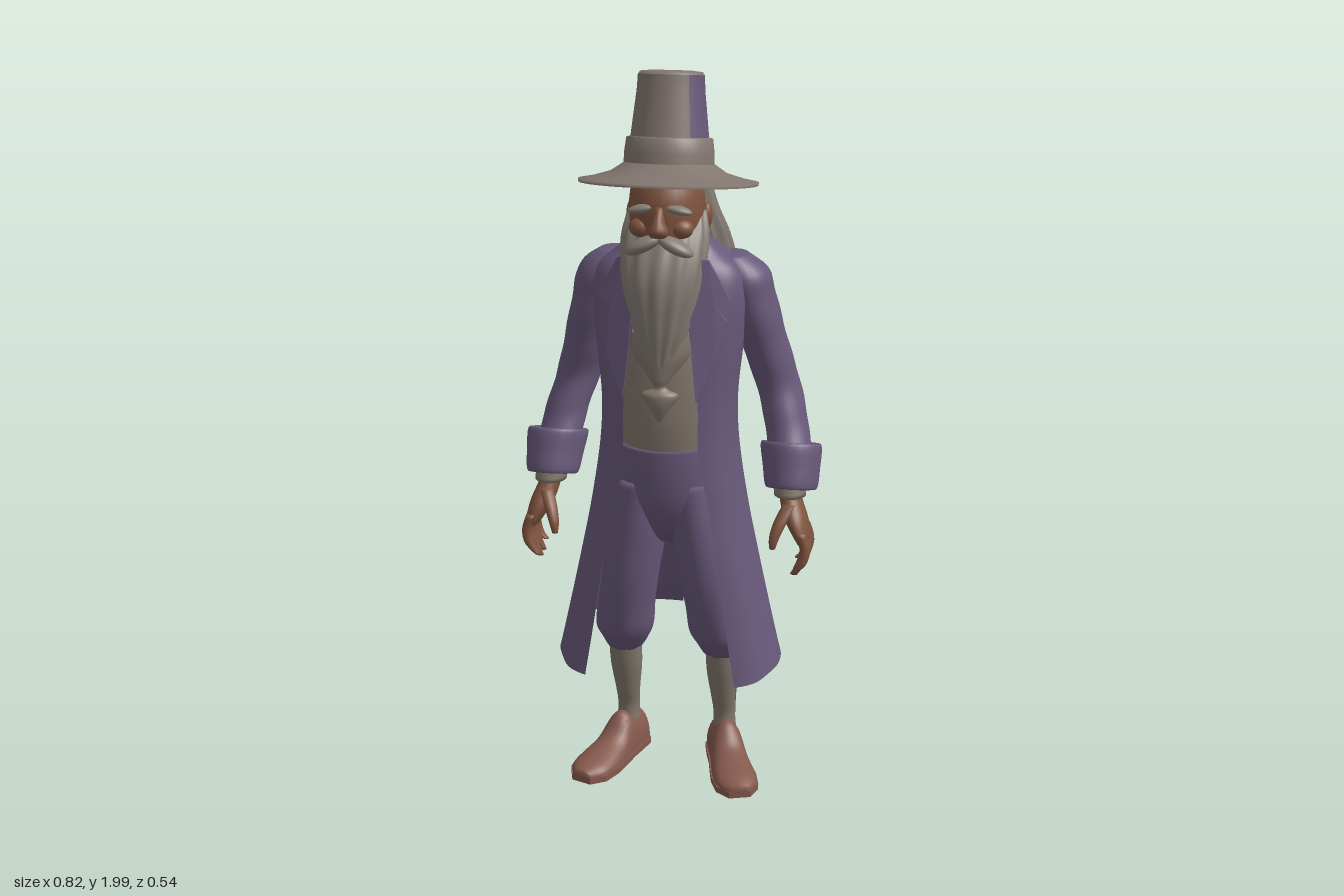
import * as THREE from 'three';
import { mergeVertices } from 'three/addons/utils/BufferGeometryUtils.js';

const mat = (name, color, side = THREE.FrontSide) => {
  const m = new THREE.MeshStandardMaterial({ color, side });
  m.name = name;
  return m;
};
const TAU = Math.PI * 2;

// Smooth interpolation through a list of rows, t in 0..1
function sample(rows, t) {
  const f = t * (rows.length - 1), i = Math.min(Math.floor(f), rows.length - 2), k = f - i;
  const at = j => rows[Math.max(0, Math.min(rows.length - 1, j))];
  return rows[i].map((p1, c) => {
    const p0 = at(i - 1)[c], p2 = at(i + 1)[c], p3 = at(i + 2)[c];
    return p1 + 0.5 * k * (p2 - p0 + k * (2 * p0 - 5 * p1 + 4 * p2 - p3 + k * (3 * (p1 - p2) + p3 - p0)));
  });
}

// Surface from fn(u, v) -> [x, y, z]; u runs round, v runs down
function grid(nu, nv, fn) {
  const pos = [], idx = [];
  for (let j = 0; j <= nv; j++) for (let i = 0; i <= nu; i++) pos.push(...fn(i / nu, j / nv, j));
  for (let j = 0; j < nv; j++) for (let i = 0; i < nu; i++) {
    const a = j * (nu + 1) + i, b = a + nu + 1;
    idx.push(a, b, a + 1, a + 1, b, b + 1);
  }
  let g = new THREE.BufferGeometry();
  g.setAttribute('position', new THREE.Float32BufferAttribute(pos, 3));
  g.setIndex(idx);
  g = mergeVertices(g, 1e-5);
  g.computeVertexNormals();
  return g;
}

// Capped loft of elliptical rings [x, y, z, rx, rz], listed from top to bottom
function loft(rows, { n = 28, m = 24, tilt = 0, from = 0, to = TAU, cap = true, ripple = () => 1, drop = () => 0 } = {}) {
  return grid(n, m + 2, (u, v, j) => {
    const t = Math.max(0, Math.min(1, (j - 1) / m));
    const [x, y, z, rx, rz] = sample(rows, t);
    const a = from + (to - from) * u;
    const k = cap && (j === 0 || j === m + 2) ? 0 : ripple(a, t);
    const dz = k * rz * Math.cos(a);
    return [x + k * rx * Math.sin(a), y + tilt * dz + (k ? drop(a, t) : 0), z + dz];
  });
}

export function createModel() {
  const root = new THREE.Group();
  root.name = 'oldManInCoat';
  const cloth = mat('purple cloth', 0x68597a, THREE.DoubleSide);
  const felt = mat('hat felt', 0x82766f, THREE.DoubleSide);
  const hairMat = mat('grey hair', 0x857d75);
  const linen = mat('linen', 0x82776d);
  const skin = mat('skin', 0x80543f);
  const leather = mat('shoe leather', 0x85594d);
  const add = (name, geo, m, parent = root) => {
    const mesh = new THREE.Mesh(geo, m);
    mesh.name = name;
    parent.add(mesh);
    return mesh;
  };
  const ball = (name, m, p, s, rz = 0) => {
    const b = add(name, new THREE.SphereGeometry(1, 20, 14), m);
    b.position.set(...p);
    b.scale.set(...s);
    b.rotation.z = rz;
  };

  // Hat: leaning back, purple under the brim and on the back of the crown
  const hat = new THREE.Group();
  hat.name = 'hat';
  hat.position.set(0, 1.7, 0.018);
  hat.rotation.x = -0.14;
  root.add(hat);
  const lathe = (pts, a = 0, len = TAU) =>
    new THREE.LatheGeometry(pts.map(p => new THREE.Vector2(...p)), 48, a, len);
  const rim = [[0.232, 0.002], [0.233, 0.01], [0.2, 0.016], [0.15, 0.031], [0.115, 0.055]];
  add('brim', lathe(rim), felt, hat).scale.z = 1.1;
  add('brimLining', lathe([[0.085, 0.03], [0.14, 0.015], [0.2, 0.002], [0.232, 0.002]]), cloth, hat).scale.z = 1.1;
  add('hatBand', lathe([[0.118, 0.04], [0.117, 0.08], [0.112, 0.118], [0.1, 0.122]]), felt, hat);
  const c0 = 0.73, c1 = 4.63;
  const crown = [[0.102, 0.115], [0.096, 0.17], [0.088, 0.24], [0.086, 0.278]];
  add('crownFront', lathe(crown, c1, TAU - c1 + c0), felt, hat);
  add('crownBack', lathe(crown, c0, c1 - c0), cloth, hat);
  add('crownTop', lathe([[0.086, 0.278], [0.08, 0.286], [0.05, 0.289], [0, 0.289]]), felt, hat);

  // Head and face
  add('head', loft([[0, 1.75, 0.02, 0.08, 0.09], [0, 1.68, 0.03, 0.097, 0.115], [0, 1.6, 0.035, 0.096, 0.112],
    [0, 1.52, 0.03, 0.08, 0.1], [0, 1.42, -0.01, 0.07, 0.07]]), skin);
  add('nose', loft([[0, 1.665, 0.135, 0.012, 0.014], [0, 1.63, 0.15, 0.016, 0.022], [0, 1.605, 0.155, 0.026, 0.027],
    [0, 1.588, 0.147, 0.022, 0.02]], { n: 16, m: 10 }), skin);
  for (const s of [1, -1]) {
    ball('ear', skin, [0.1 * s, 1.62, 0.005], [0.014, 0.034, 0.022]);
    ball('cheek', skin, [0.052 * s, 1.605, 0.115], [0.032, 0.026, 0.028]);
    ball('eyebrow', hairMat, [0.047 * s, 1.657, 0.132], [0.038, 0.012, 0.02], -0.2 * s);
    ball('moustache', hairMat, [0.042 * s, 1.565, 0.142], [0.052, 0.019, 0.032], -0.45 * s);
  }

  // Beard and long hair, grooved into locks
  add('beard', loft([[0, 1.64, 0.035, 0.1, 0.04], [0, 1.57, 0.06, 0.113, 0.082], [0, 1.47, 0.092, 0.106, 0.09],
    [0, 1.35, 0.115, 0.076, 0.062], [0, 1.26, 0.125, 0.042, 0.036], [0, 1.2, 0.135, 0.015, 0.014]],
  { n: 72, m: 30, ripple: (a, t) => 1 + 0.035 * Math.sin(13 * a + 3 * t) }), hairMat);
  add('hair', loft([[0, 1.72, -0.01, 0.1, 0.1], [0, 1.63, -0.045, 0.118, 0.1], [0, 1.55, -0.085, 0.14, 0.105],
    [0, 1.48, -0.115, 0.148, 0.112], [0, 1.44, -0.14, 0.125, 0.09]],
  { n: 90, m: 24, ripple: (a, t) => 1 + (0.02 + 0.04 * t) * Math.sin(15 * a + 2 * t),
    drop: (a, t) => t * t * 0.022 * Math.sin(15 * a + 1) }), hairMat);

  // Waistcoat, neckcloth and breeches
  add('waistcoat', loft([[0, 1.5, -0.02, 0.08, 0.08], [0, 1.4, -0.01, 0.14, 0.11], [0, 1.25, 0, 0.15, 0.135],
    [0, 1.1, 0, 0.145, 0.143], [0, 0.99, 0, 0.14, 0.132]]), linen);
  add('neckcloth', loft([[0, 1.33, 0.06, 0.1, 0.09], [0, 1.27, 0.08, 0.085, 0.078], [0, 1.21, 0.105, 0.04, 0.05],
    [0, 1.185, 0.125, 0.022, 0.025], [0, 1.165, 0.13, 0.05, 0.033], [0, 1.13, 0.135, 0.03, 0.025],
    [0, 1.09, 0.135, 0.006, 0.008]], { m: 36 }), linen);
  add('breechesSeat', loft([[0, 1.005, 0, 0.143, 0.134], [0, 0.92, 0, 0.15, 0.13], [0, 0.83, 0, 0.15, 0.115],
    [0, 0.75, 0, 0.1, 0.08], [0, 0.71, 0, 0.03, 0.04]]), cloth);

  // Coat half: rows are [y, half width, front depth, back depth, front gap, back gap]
  const coatHalf = (s, flare, vent) => {
    const rows = [[1.57, 0.1, 0.06, 0.11, 0.07, 0], [1.53, 0.135, 0.075, 0.135, 0.07, 0], [1.48, 0.19, 0.1, 0.165, 0.065, 0],
      [1.4, 0.205, 0.12, 0.185, 0.065, 0], [1.27, 0.195, 0.135, 0.185, 0.085, 0], [1.13, 0.182, 0.143, 0.165, 0.1, 0],
      [1.0, 0.187, 0.148, 0.15, 0.103, 0], [0.83, 0.212, 0.158, 0.165, 0.135, 0], [0.67, 0.243, 0.17, 0.188, 0.16, 0],
      [0.5, 0.278, 0.178, 0.205 + flare * 0.5, 0.185, vent * 0.6], [0.345, 0.31, 0.187, 0.225 + flare, 0.21, vent]];
    return grid(36, 50, (u, v) => {
      const [y, rx, zf, zb, gf, gb] = sample(rows, v);
      const ang = g => Math.asin(Math.min(1, Math.max(0, g) / rx) ** 1.25);
      const a0 = ang(gf), a1 = Math.PI - ang(gb);
      const a = a0 + (a1 - a0) * (s > 0 ? u : 1 - u), c = Math.cos(a);
      const fold = 1 + 0.012 * Math.sin(a * 9) * v * v;
      return [s * rx * fold * Math.sin(a) ** 0.8, y + 0.045 * v ** 8 * (0.5 - c * 0.7),
        (c > 0 ? zf : -zb) * fold * Math.abs(c) ** 0.8];
    });
  };
  add('coatLeft', coatHalf(1, -0.005, 0.05), cloth);
  add('coatRight', coatHalf(-1, 0.045, 0.012), cloth);

  const lapel = [[0.068, 1.53], [0.12, 1.52], [0.178, 1.41], [0.14, 1.4], [0.17, 1.36], [0.145, 1.26], [0.098, 1.15], [0.085, 1.27]];
  for (const s of [1, -1]) {
    const left = s > 0, side = n => (left ? 'left' : 'right') + n;

    // Lapel bent to lie over the chest
    const lg = new THREE.ExtrudeGeometry(new THREE.Shape(lapel.map(([x, y]) => new THREE.Vector2(s * x, y))),
      { depth: 0.012, bevelEnabled: false });
    const p = lg.attributes.position;
    for (let i = 0; i < p.count; i++)
      p.setZ(i, p.getZ(i) + 0.153 - (p.getY(i) - 1.15) * 0.12 - p.getX(i) ** 2 * 1.5);
    lg.computeVertexNormals();
    add(side('Lapel'), lg, cloth);

    // Sleeve and turned-back cuff
    add(side('Sleeve'), loft([[0.16 * s, 1.51, -0.05, 0.04, 0.05], [0.187 * s, 1.465, -0.055, 0.068, 0.08],
      [0.212 * s, 1.38, -0.065, 0.066, 0.085], [0.243 * s, 1.26, -0.088, 0.064, 0.08], [0.275 * s, 1.15, -0.112, 0.061, 0.078],
      [0.305 * s, 1.05, -0.085, 0.059, 0.07], [0.325 * s, 0.95, -0.035, 0.058, 0.062], [0.33 * s, 0.9, -0.012, 0.05, 0.055]],
    { m: 36, ripple: (a, t) => 1 + 0.02 * Math.sin(t * 40 + a) }), cloth);
    add(side('Cuff'), loft([[0.322 * s, 0.985, -0.05, 0.055, 0.062], [0.325 * s, 0.988, -0.052, 0.082, 0.088],
      [0.33 * s, 0.93, -0.03, 0.078, 0.083], [0.333 * s, 0.878, -0.01, 0.07, 0.075], [0.333 * s, 0.88, -0.01, 0.05, 0.055]],
    { tilt: 0.3 }), cloth);
    add(side('ShirtCuff'), loft([[0.33 * s, 0.9, 0, 0.045, 0.047], [0.333 * s, 0.865, 0.01, 0.043, 0.047]], { m: 3 }), linen);

    // Hand with curled fingers
    add(side('Palm'), loft([[0.33 * s, 0.9, 0.0, 0.03, 0.035], [0.335 * s, 0.86, 0.012, 0.03, 0.04],
      [0.352 * s, 0.81, 0.03, 0.032, 0.054], [0.37 * s, 0.765, 0.035, 0.024, 0.058], [0.373 * s, 0.745, 0.035, 0.014, 0.05]]), skin);
    for (let i = 0; i < 4; i++) {
      const z = -0.012 + i * 0.031, low = [0.675, 0.655, 0.65, 0.665][i], w = 0.0145;
      add(side('Finger'), loft([[0.372 * s, 0.78, z, w, w], [0.385 * s, 0.735, z, w, w],
        [0.377 * s, 0.695, z + 0.002, w, w], [0.355 * s, low, z + 0.004, 0.008, 0.008]], { n: 10, m: 10 }), skin);
    }
    add(side('Thumb'), loft([[0.338 * s, 0.85, 0.045, 0.018, 0.02], [0.318 * s, 0.81, 0.078, 0.018, 0.019],
      [0.304 * s, 0.77, 0.098, 0.014, 0.015], [0.3 * s, 0.74, 0.104, 0.008, 0.008]], { n: 12, m: 10 }), skin);

    // Breeches leg gathered below the knee, and stocking
    add(side('BreechesLeg'), loft([[0.068 * s, 0.9, 0, 0.072, 0.11], [0.087 * s, 0.76, 0.005, 0.082, 0.105],
      [0.108 * s, 0.62, 0.005, 0.08, 0.095], [0.125 * s, 0.51, -0.01, 0.08, 0.09], [0.134 * s, 0.43, -0.025, 0.08, 0.085],
      [0.137 * s, 0.38, -0.042, 0.062, 0.068], [0.138 * s, 0.355, -0.048, 0.048, 0.052]],
    { n: 48, m: 30, ripple: (a, t) => 1 + 0.04 * t * t * Math.sin(8 * a + 9 * t) }), cloth);
    const calf = [[0.14 * s, 0.38, -0.05, 0.046, 0.047], [0.14 * s, 0.29, -0.065, 0.045, 0.046],
      [0.14 * s, 0.2, -0.083, 0.035, 0.038], [0.141 * s, 0.14, -0.098, 0.031, 0.034], [0.143 * s, 0.07, -0.1, 0.034, 0.04]];
    add(side('Stocking'), loft(calf), linen);
    if (left) add('stockingPatch', loft(calf.slice(0, 4).map(([x, y, z, a, b]) => [x, y, z, a + 0.002, b + 0.002]),
      { n: 12, from: 1.4, to: 2.7, cap: false }), cloth);

    // Shoe, toe turned outward: rows are [z, half width, height]
    const shoe = new THREE.Group();
    shoe.name = side('Shoe');
    shoe.position.set(0.141 * s, 0, -0.1);
    shoe.rotation.y = 0.34 * s;
    root.add(shoe);
    const last = [[-0.062, 0.022, 0.085], [-0.045, 0.043, 0.105], [0, 0.047, 0.118], [0.05, 0.049, 0.128], [0.1, 0.055, 0.08],
      [0.16, 0.061, 0.06], [0.22, 0.056, 0.048], [0.26, 0.026, 0.034]];
    add('shoeUpper', grid(28, 32, (u, v, j) => {
      const [z, w, h] = sample(last, Math.max(0, Math.min(1, (j - 1) / 30)));
      const k = j === 0 || j === 32 ? 0 : 1, a = -u * TAU, up = Math.sin(a);
      const x = w * Math.sign(Math.cos(a)) * Math.abs(Math.cos(a)) ** (up > 0 ? 1.1 : 0.5);
      return [k * x, 0.014 + k * (up > 0 ? (h - 0.014) * up ** 0.8 : 0), z];
    }), new THREE.MeshStandardMaterial().copy(leather)).material = leather;
    const outline = [...last.map(([z, w]) => new THREE.Vector2(w + 0.004, -z)),
      ...last.map(([z, w]) => new THREE.Vector2(-w - 0.004, -z)).reverse()];
    const sole = add('shoeSole', new THREE.ExtrudeGeometry(new THREE.Shape(outline), { depth: 0.018, bevelEnabled: false }), leather, shoe);
    sole.rotation.x = -Math.PI / 2;
    shoe.add(root.children[root.children.length - 1]);
  }
  return root;
}
